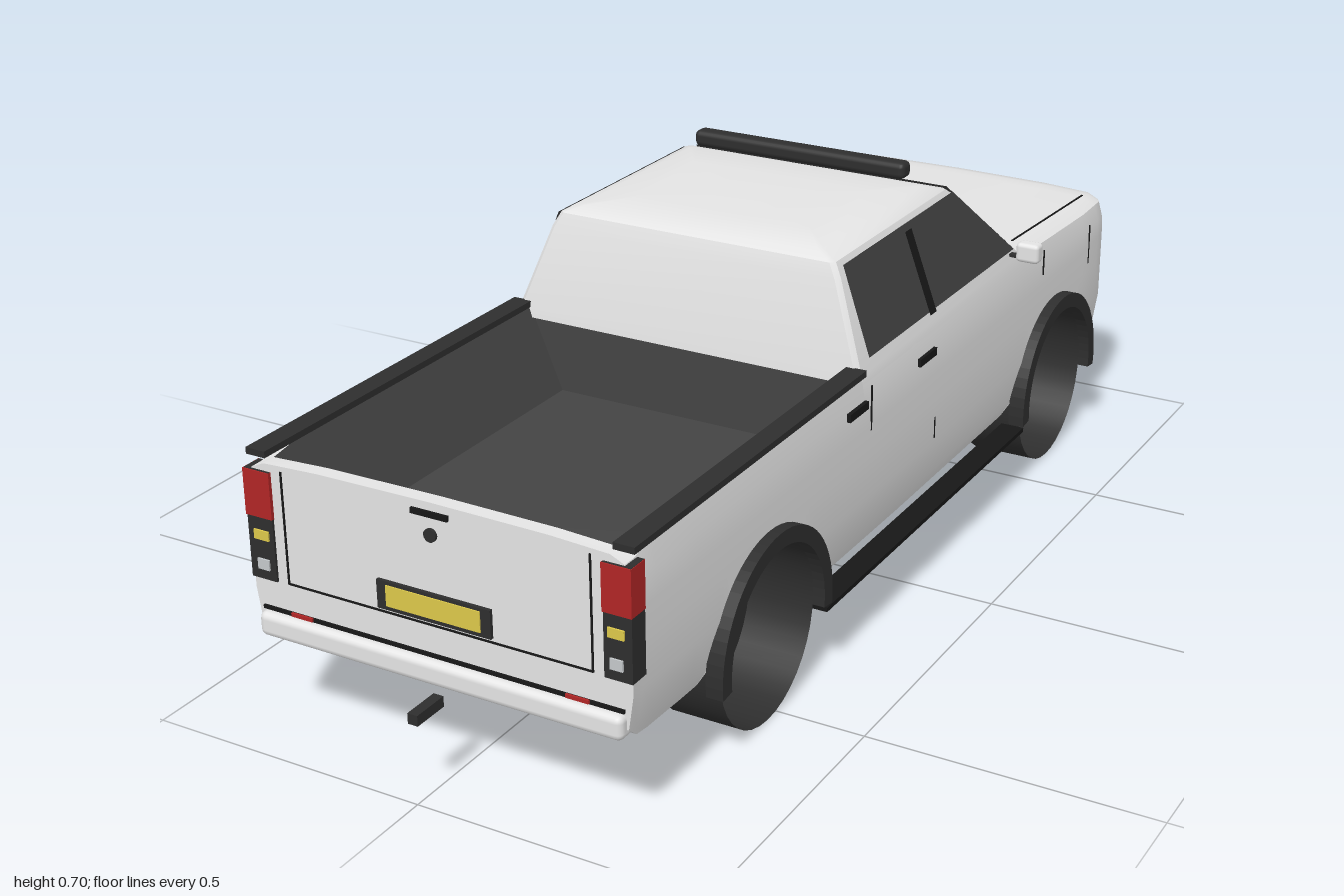
import * as THREE from 'three';
import { toCreasedNormals } from 'three/addons/utils/BufferGeometryUtils.js';
import { RoundedBoxGeometry } from 'three/addons/geometries/RoundedBoxGeometry.js';

const mat = (name, color, side = THREE.FrontSide) => {
  const m = new THREE.MeshStandardMaterial({ color, side });
  m.name = name;
  return m;
};

// Piecewise linear curve through [input, value] pairs
const curve = (pts) => (t) => {
  if (t <= pts[0][0]) return pts[0][1];
  for (let i = 1; i < pts.length; i++) {
    const [a, u] = pts[i - 1], [b, v] = pts[i];
    if (t <= b) return u + ((v - u) * (t - a)) / (b - a);
  }
  return pts[pts.length - 1][1];
};

// Skin closed rings of points, cap both ends; isSecond(i, j) picks material 1
function loft(rings, isSecond = () => false) {
  const n = rings[0].length, pos = rings.flat(2), lists = [[], []];
  rings.slice(0, -1).forEach((_, i) => {
    for (let j = 0; j < n; j++) {
      const k = (j + 1) % n, a = i * n + j, b = i * n + k;
      lists[isSecond(i, j) ? 1 : 0].push(a, a + n, b, b, a + n, b + n);
    }
  });
  [0, rings.length - 1].forEach((r) => {
    const c = pos.length / 3;
    for (let d = 0; d < 3; d++) pos.push(rings[r].reduce((s, p) => s + p[d], 0) / n);
    for (let j = 0; j < n; j++) {
      const a = r * n + j, b = r * n + ((j + 1) % n);
      lists[0].push(c, ...(r ? [b, a] : [a, b]));
    }
  });
  const g = new THREE.BufferGeometry();
  g.setAttribute('position', new THREE.Float32BufferAttribute(pos, 3));
  g.setIndex([...lists[0], ...lists[1]]);
  g.addGroup(0, lists[0].length, 0);
  g.addGroup(lists[0].length, lists[1].length, 1);
  return toCreasedNormals(g, 0.6);
}

const WHEELS = [-0.63, 0.53], WHEEL_Y = 0.154, ARCH = 0.166, BED_Y = 0.325;
const topY = curve([[-0.95, 0.437], [-0.94, 0.45], [-0.9, 0.459], [-0.47, 0.478], [0.93, 0.47]]);
const floorY = curve([[-0.95, 0.2], [-0.935, 0.168], [-0.87, 0.15], [-0.78, 0.138], [0.72, 0.138], [0.86, 0.155], [0.905, 0.17], [0.93, 0.19]]);
const halfW = curve([[-0.95, 0.295], [-0.935, 0.318], [-0.9, 0.334], [-0.8, 0.342], [0, 0.347], [0.93, 0.342]]);
const bulge = curve([[0.138, 0.9], [0.17, 0.965], [0.25, 1], [0.4, 1], [0.47, 0.98]]);

// Body cross-section with wheel wells and, where bed is set, the open load bed
function bodySection([z, bed]) {
  const t = topY(z), f = floorY(z), w = halfW(z);
  let yb = f;
  for (const c of WHEELS) {
    const d = Math.abs(z - c);
    if (d < ARCH) yb = Math.max(yb, WHEEL_Y + Math.sqrt(ARCH * ARCH - d * d));
  }
  const half = bed
    ? [[0, BED_Y], [0.25, BED_Y], [0.312, t], [0.97 * w, t]]
    : [[0, t + 0.004], [0.6 * w, t + 0.002], [0.9 * w, t - 0.003], [0.97 * w, t - 0.014]];
  for (const h of [t - 0.045, 0.38, 0.325, 0.25, 0.18, 0]) {
    const y = Math.max(h, yb);
    half.push([w * bulge(y), y]);
  }
  half.push([0.215, yb], [0.215, f], [0, f]);
  const left = half.slice(1, -1).reverse().map(([x, y]) => [-x, y]);
  return [...half, ...left].map(([x, y]) => [x, y, z]);
}

export function createModel() {
  const root = new THREE.Group();
  root.name = 'pickupTruck';
  const paint = mat('paint', 0xe4e4e4, THREE.DoubleSide), trim = mat('darkTrim', 0x2e2e2e, THREE.DoubleSide);
  const liner = mat('bedLiner', 0x444444), glass = mat('tintedGlass', 0x404040, THREE.DoubleSide);
  const black = mat('black', 0x171717, THREE.DoubleSide), red = mat('redLens', 0xb02626);
  const yellow = mat('yellow', 0xdcc84a), lens = mat('clearLens', 0xc4c8ca);

  const add = (name, geo, m, x = 0, y = 0, z = 0) => {
    const mesh = new THREE.Mesh(geo, m);
    mesh.name = name;
    mesh.position.set(x, y, z);
    root.add(mesh);
    return mesh;
  };
  const box = (name, m, w, h, d, x, y, z) => add(name, new THREE.BoxGeometry(w, h, d), m, x, y, z);
  const soft = (name, m, w, h, d, x, y, z, r) => add(name, new RoundedBoxGeometry(w, h, d, 2, r), m, x, y, z);
  // Flat outline mapped onto a surface
  const panel = (name, m, pts, map) => {
    const g = new THREE.ShapeGeometry(new THREE.Shape(pts.map(([a, b]) => new THREE.Vector2(a, b))));
    const p = g.attributes.position;
    for (let i = 0; i < p.count; i++) p.setXYZ(i, ...map(p.getX(i), p.getY(i)));
    g.computeVertexNormals();
    return add(name, g, m);
  };

  // Body shell, load bed and dark wheel wells
  const zs = [-0.95, -0.935, -0.9, -0.87, -0.47, 0, 0.16, 0.75, 0.86, 0.905, 0.93];
  for (const c of WHEELS) {
    for (let i = 0; i <= 24; i++) zs.push(c - ARCH * 1.0001 * Math.cos((Math.PI * i) / 24));
  }
  const stations = zs.map((z) => [z, z > 0.2 && z <= 0.86]);
  stations.push([0.2, false], [0.2, true]);
  stations.sort((a, b) => a[0] - b[0] || a[1] - b[1]);
  const rings = stations.map(bodySection), last = rings[0].length - 1;
  const inArch = ([z]) => WHEELS.some((c) => Math.abs(z - c) < ARCH * 1.001);
  add('body', loft(rings, (i, j) => {
    const k = Math.min(j, last - j), pair = [stations[i], stations[i + 1]];
    return k < 2 ? pair.some((s) => s[1]) : (k === 9 || k === 10) && pair.every(inArch);
  }), [paint, liner]);

  // Cab: [y, half width, front z, back z]
  const levels = [[0.455, 0.338, -0.485, 0.207], [0.47, 0.335, -0.475, 0.205], [0.62, 0.28, -0.31, 0.176],
    [0.645, 0.266, -0.275, 0.168], [0.658, 0.235, -0.235, 0.15], [0.664, 0.17, -0.14, 0.08]];
  add('cab', loft(levels.map(([y, w, f, b]) => {
    const c = 0.008;
    return [[c - w, f], [w - c, f], [w, f + c], [w, b - c], [w - c, b], [c - w, b], [-w, b - c], [-w, f + c]]
      .map(([x, z]) => [x, y, z]);
  })), paint);
  panel('windshield', glass, [[-0.317, 0.484], [0.317, 0.484], [0.258, 0.643], [-0.258, 0.643]],
    (x, y) => [x, y, -0.481 + 1.1 * (y - 0.47)]);

  // Roof light bar
  soft('roofLightBar', trim, 0.426, 0.03, 0.034, 0, 0.685, -0.222, 0.01);

  for (const s of [1, -1]) {
    // Side glass and door pillar
    const onCab = (off) => (z, y) => [s * (0.335 - 0.367 * (y - 0.47) + off), y, z];
    panel('sideWindow', glass, [[0.163, 0.49], [-0.44, 0.49], [-0.277, 0.64], [0.155, 0.64]], onCab(0.004));
    panel('doorPillar', black, [[-0.065, 0.487], [-0.09, 0.487], [-0.09, 0.63], [-0.065, 0.63]], onCab(0.008));
    // Mirrors
    soft('mirror', paint, 0.045, 0.037, 0.028, s * 0.367, 0.493, -0.43, 0.008);
    box('mirrorStalk', trim, 0.03, 0.005, 0.014, s * 0.335, 0.482, -0.43);
    // Door handles and panel seams
    for (const z of [0.232, -0.035]) box('doorHandle', black, 0.012, 0.014, 0.066, s * 0.344, 0.423, z);
    for (const [z, y, h] of [[0.18, 0.41, 0.08], [-0.075, 0.275, 0.04], [-0.565, 0.425, 0.05], [-0.81, 0.385, 0.08]]) {
      box('panelSeam', black, 0.002, h, 0.003, s * halfW(z), y, z);
    }
    box('hoodSeam', black, 0.003, 0.002, 0.36, s * 0.295, 0.467, -0.7).rotation.x = -0.044;
    // Bed rail and side step
    box('bedRail', trim, 0.036, 0.011, 0.725, s * 0.327, 0.478, 0.562);
    box('sideStep', black, 0.045, 0.008, 0.82, s * 0.338, 0.122, -0.05);

    // Wheels, open on the outside, and fender flares
    for (const z of WHEELS) {
      const tyre = new THREE.CylinderGeometry(0.153, 0.153, 0.118, 36, 1, true).rotateZ(Math.PI / 2);
      add('wheel', tyre, trim, s * 0.284, 0.153, z);
      add('wheelDisc', new THREE.CircleGeometry(0.153, 36).rotateY((s * Math.PI) / 2), trim, s * 0.225, 0.153, z);
      const arc = new THREE.Shape();
      arc.absarc(0, 0, 0.182, -0.12, Math.PI + 0.12, false);
      arc.absarc(0, 0, 0.154, Math.PI + 0.12, -0.12, true);
      const flare = new THREE.ExtrudeGeometry(arc, { depth: 0.03, bevelEnabled: false, curveSegments: 16 });
      add('fenderFlare', flare.rotateY(Math.PI / 2), trim, s * 0.349 - 0.015, WHEEL_Y, z);
    }

    // Tail lights, wrapped round the corner
    box('tailLightHousing', trim, 0.048, 0.185, 0.036, s * 0.32, 0.362, 0.916);
    box('brakeLight', red, 0.05, 0.078, 0.038, s * 0.32, 0.415, 0.917);
    box('turnLight', yellow, 0.028, 0.016, 0.006, s * 0.318, 0.346, 0.934);
    box('reverseLight', lens, 0.022, 0.018, 0.006, s * 0.318, 0.296, 0.934);
    box('rearReflector', red, 0.04, 0.006, 0.004, s * 0.25, 0.222, 0.936);
    // Tailgate side seams
    box('tailgateSeam', black, 0.003, 0.19, 0.004, s * 0.275, 0.365, 0.93);

    // Headlights and fog lights
    box('headlightHousing', trim, 0.085, 0.05, 0.012, s * 0.247, 0.402, -0.948);
    box('headlight', lens, 0.03, 0.022, 0.008, s * 0.265, 0.402, -0.952);
    box('innerHeadlight', lens, 0.02, 0.022, 0.008, s * 0.228, 0.402, -0.952);
    const fog = (r, d) => new THREE.CylinderGeometry(r, r, d, 16).rotateX(Math.PI / 2);
    add('fogLightRing', fog(0.017, 0.008), trim, s * 0.245, 0.265, -0.951);
    add('fogLight', fog(0.01, 0.008), lens, s * 0.245, 0.265, -0.954);

    // Bull bar uprights
    const path = new THREE.CatmullRomCurve3([[0.43, -0.95], [0.415, -0.98], [0.3, -0.99], [0.2, -0.985]]
      .map(([y, z]) => new THREE.Vector3(s * 0.142, y, z)));
    add('bullBarUpright', new THREE.TubeGeometry(path, 16, 0.008, 8), black);
  }

  // Tailgate
  box('tailgateLowerSeam', black, 0.55, 0.003, 0.004, 0, 0.271, 0.93);
  box('tailgateHandle', black, 0.066, 0.009, 0.008, 0, 0.456, 0.931);
  add('tailgateLock', new THREE.CylinderGeometry(0.011, 0.011, 0.008, 16).rotateX(Math.PI / 2), trim, 0, 0.422, 0.931);
  box('rearPlateFrame', trim, 0.205, 0.048, 0.008, 0, 0.302, 0.932);
  box('rearPlate', yellow, 0.17, 0.035, 0.006, 0, 0.303, 0.935);

  // Rear bumper and tow hitch
  soft('rearBumper', paint, 0.66, 0.042, 0.06, 0, 0.195, 0.917, 0.012);
  box('bumperGap', black, 0.655, 0.006, 0.006, 0, 0.22, 0.931);
  box('towHitch', trim, 0.018, 0.018, 0.066, 0, 0.147, 0.967);

  // Grille, front plate and lower intake
  box('grille', trim, 0.37, 0.16, 0.012, 0, 0.35, -0.95);
  for (let i = 0; i < 6; i++) box('grilleSlat', black, 0.36, 0.006, 0.006, 0, 0.29 + i * 0.024, -0.956);
  box('frontPlate', lens, 0.17, 0.035, 0.008, 0, 0.285, -0.96);
  box('lowerIntake', trim, 0.24, 0.03, 0.02, 0, 0.2, -0.944);
  // Bull bar crossbars
  soft('bullBarLower', black, 0.4, 0.024, 0.014, 0, 0.238, -0.985, 0.006);
  box('bullBarUpper', black, 0.284, 0.012, 0.012, 0, 0.412, -0.98);

  return root;
}
